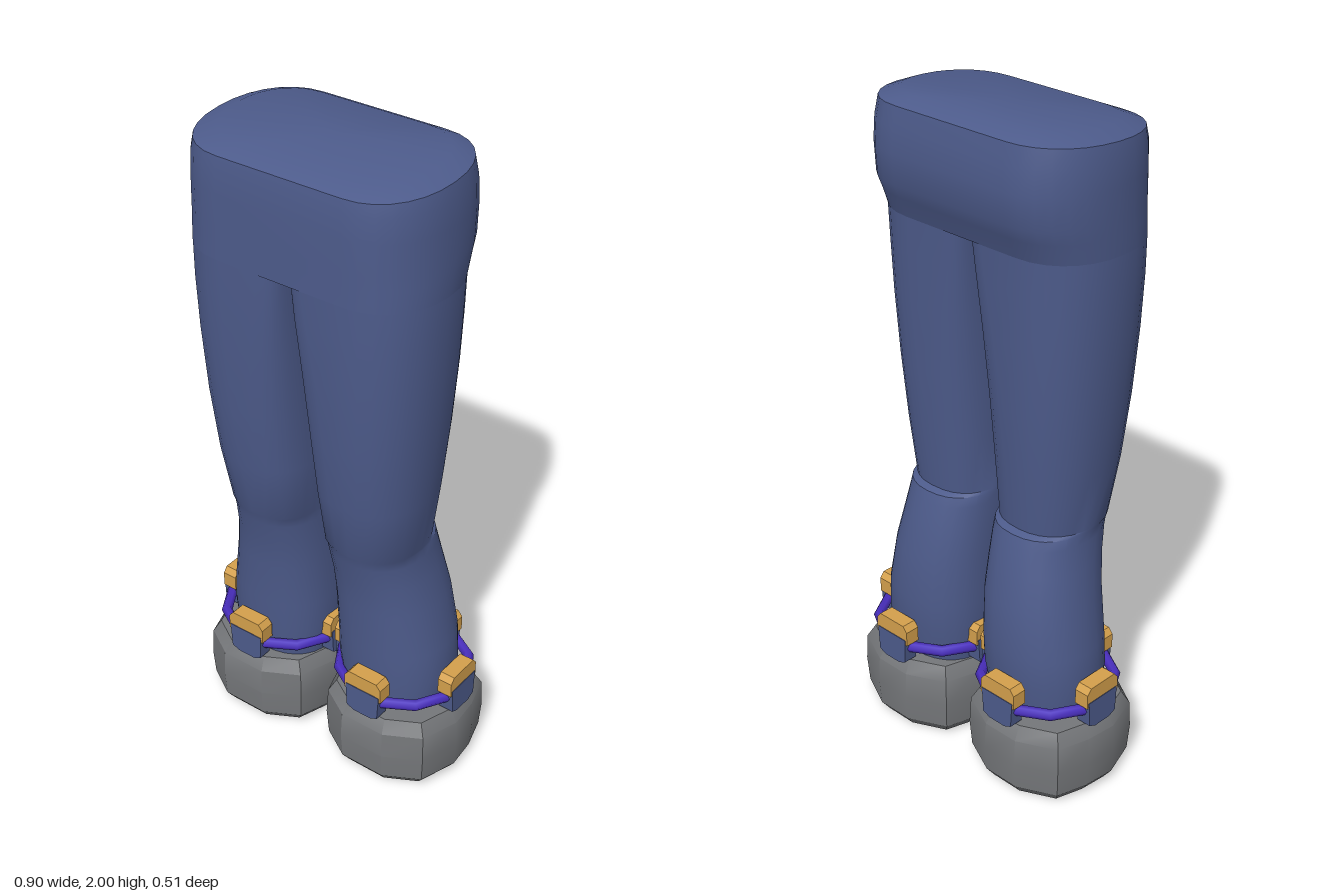
import * as THREE from 'three';
import { toCreasedNormals } from 'three/addons/utils/BufferGeometryUtils.js';

const mat = (name, color) => {
  const m = new THREE.MeshStandardMaterial({ color });
  m.name = name;
  return m;
};

// Closed loft through rings of [x, y, z] points, capped at both ends.
function loft(rings, crease = 0.6) {
  const n = rings[0].length, pos = [], idx = [];
  rings.forEach((r) => r.forEach((p) => pos.push(...p)));
  for (let i = 0; i < rings.length - 1; i++) {
    for (let j = 0; j < n; j++) {
      const a = i * n + j, b = i * n + ((j + 1) % n);
      idx.push(a, a + n, b, b, a + n, b + n);
    }
  }
  [0, rings.length - 1].forEach((i) => {
    const c = pos.length / 3;
    const mid = [0, 1, 2].map((k) => rings[i].reduce((s, p) => s + p[k], 0) / n);
    pos.push(...mid);
    for (let j = 0; j < n; j++) {
      const a = i * n + j, b = i * n + ((j + 1) % n);
      if (i === 0) idx.push(c, a, b);
      else idx.push(c, b, a);
    }
  });
  const g = new THREE.BufferGeometry();
  g.setAttribute('position', new THREE.Float32BufferAttribute(pos, 3));
  g.setIndex(idx);
  return toCreasedNormals(g, crease);
}

const sup = (v, n) => Math.sign(v) * Math.pow(Math.abs(v), 2 / n);
const SEG = 28;
const OUT = 2.2;

// Leg section: rounded outer side, squarer inner side.
function legRing([y, x0, x1, zb, zf, nIn], side) {
  const ring = [];
  const cx = (x0 + x1) / 2, hx = (x1 - x0) / 2, cz = (zb + zf) / 2, hz = (zf - zb) / 2;
  for (let j = 0; j < SEG; j++) {
    const a = (j / SEG) * Math.PI * 2;
    const n = Math.cos(a) >= 0 ? OUT : nIn;
    ring.push([side * (cx + hx * sup(Math.cos(a), n)), y, cz + hz * sup(Math.sin(a), n)]);
  }
  return side < 0 ? ring.reverse() : ring;
}

// Pelvis section: the two outer leg halves joined by a straight middle.
function pelvisRing([y, x1, zb, zf, tilt = 0]) {
  const ring = [], cx = x1 * 0.52, hx = x1 - cx, cz = (zb + zf) / 2, hz = (zf - zb) / 2;
  for (const side of [1, -1]) {
    for (let j = 0; j <= SEG / 2; j++) {
      const a = side * (-Math.PI / 2 + (j / (SEG / 2)) * Math.PI);
      const c = Math.max(0, Math.cos(a));
      const z = cz + hz * sup(Math.sin(side > 0 ? a : -a - Math.PI), OUT);
      ring.push([side * (cx + hx * sup(c, OUT)), y - tilt * z, z]);
    }
  }
  return ring;
}

export function createModel() {
  const root = new THREE.Group();
  root.name = 'trousersAndBoots';
  const blue = mat('trouserBlue', 0x4d5b8b);
  const grey = mat('bootGrey', 0x75777a);
  const gold = mat('claspGold', 0xd4a04c);
  const purple = mat('bandPurple', 0x4a2fc0);

  const add = (parent, name, geo, material) => {
    const m = new THREE.Mesh(geo, material);
    m.name = name;
    parent.add(m);
    return m;
  };

  // Pelvis with a rounded seat at the back and a bevelled waist
  const pelvisRows = [
    [1.66, 0.387, -0.167, 0.25], [1.72, 0.388, -0.19, 0.25], [1.76, 0.388, -0.208, 0.25],
    [1.85, 0.387, -0.215, 0.25], [1.92, 0.384, -0.21, 0.248], [1.966, 0.376, -0.2, 0.243, 0.05],
    [1.988, 0.32, -0.155, 0.19, 0.06],
  ];
  add(root, 'pelvis', loft(pelvisRows.map(pelvisRing)), blue);

  // Legs: y, inner x, outer x, back z, front z, inner squareness
  const legRows = [
    [0.22, 0.05, 0.37, -0.18, 0.11, 2.4], [0.35, 0.03, 0.385, -0.2, 0.122, 2.4],
    [0.45, 0.03, 0.375, -0.205, 0.127, 2.4], [0.6, 0.03, 0.348, -0.195, 0.137, 2.4],
    [0.7, 0.03, 0.33, -0.173, 0.15, 2.4], [0.78, 0.03, 0.318, -0.155, 0.17, 2.4],
    [0.81, 0.03, 0.317, -0.145, 0.177, 2.4], [0.818, 0.03, 0.318, -0.122, 0.18, 2.5],
    [1.0, 0.024, 0.342, -0.138, 0.212, 2.7], [1.2, 0.02, 0.363, -0.15, 0.232, 3.2],
    [1.4, 0.015, 0.379, -0.158, 0.243, 4.2], [1.56, 0.012, 0.386, -0.163, 0.249, 6],
    [1.66, 0.012, 0.387, -0.167, 0.25, 8],
  ];

  // Boot outline seen from above, around the boot's centre line
  const bootOutline = [
    [0.22, 0], [0.18, 0.12], [0.07, 0.18], [-0.08, 0.18], [-0.18, 0.12], [-0.22, 0],
    [-0.21, -0.1], [-0.18, -0.2], [-0.06, -0.257], [0.06, -0.257], [0.18, -0.2], [0.21, -0.1],
  ];
  const bootRows = [[0, 0.85], [0.035, 0.97], [0.12, 1], [0.205, 0.98], [0.245, 0.87]];

  // Clasp: chamfered gold block over a tapered tab
  const plate = (pts, depth) => {
    const s = new THREE.Shape(pts.map((p) => new THREE.Vector2(...p)));
    return new THREE.ExtrudeGeometry(s, { depth, bevelEnabled: false });
  };
  const goldGeo = plate([[-0.065, 0.318], [-0.05, 0.318], [-0.042, 0.33], [0.042, 0.33], [0.05, 0.318],
    [0.065, 0.318], [0.065, 0.365], [0.05, 0.383], [-0.05, 0.383], [-0.065, 0.365]], 0.047);
  const tabGeo = plate([[-0.03, 0.243], [0.03, 0.243], [0.055, 0.254], [0.06, 0.335], [-0.06, 0.335],
    [-0.055, 0.254]], 0.046);

  for (const side of [1, -1]) {
    const label = side > 0 ? 'left' : 'right';
    const leg = new THREE.Group();
    leg.name = label + 'LegAssembly';
    root.add(leg);
    add(leg, label + 'Leg', loft(legRows.map((r) => legRing(r, side))), blue);

    const boot = bootRows.map(([y, k]) =>
      bootOutline.map(([x, z]) => [side * 0.23 + x * k, y, -0.038 + (z + 0.038) * k]));
    add(leg, label + 'Boot', loft(boot, 0.5), grey);

    // Ankle band and its four clasps
    const ankle = new THREE.Group();
    ankle.name = label + 'AnkleBand';
    ankle.position.set(side * 0.222, 0, -0.043);
    leg.add(ankle);
    const band = new THREE.TorusGeometry(0.198, 0.017, 6, 12);
    band.rotateZ(Math.PI / 12).rotateX(Math.PI / 2);
    add(ankle, 'band', band, purple).position.y = 0.3;
    for (let i = 0; i < 4; i++) {
      const clasp = new THREE.Group();
      clasp.name = 'clasp';
      clasp.rotation.y = (i * Math.PI) / 2;
      ankle.add(clasp);
      add(clasp, 'claspBlock', goldGeo, gold).position.z = 0.167;
      add(clasp, 'claspTab', tabGeo, blue).position.z = 0.17;
    }
  }
  return root;
}
